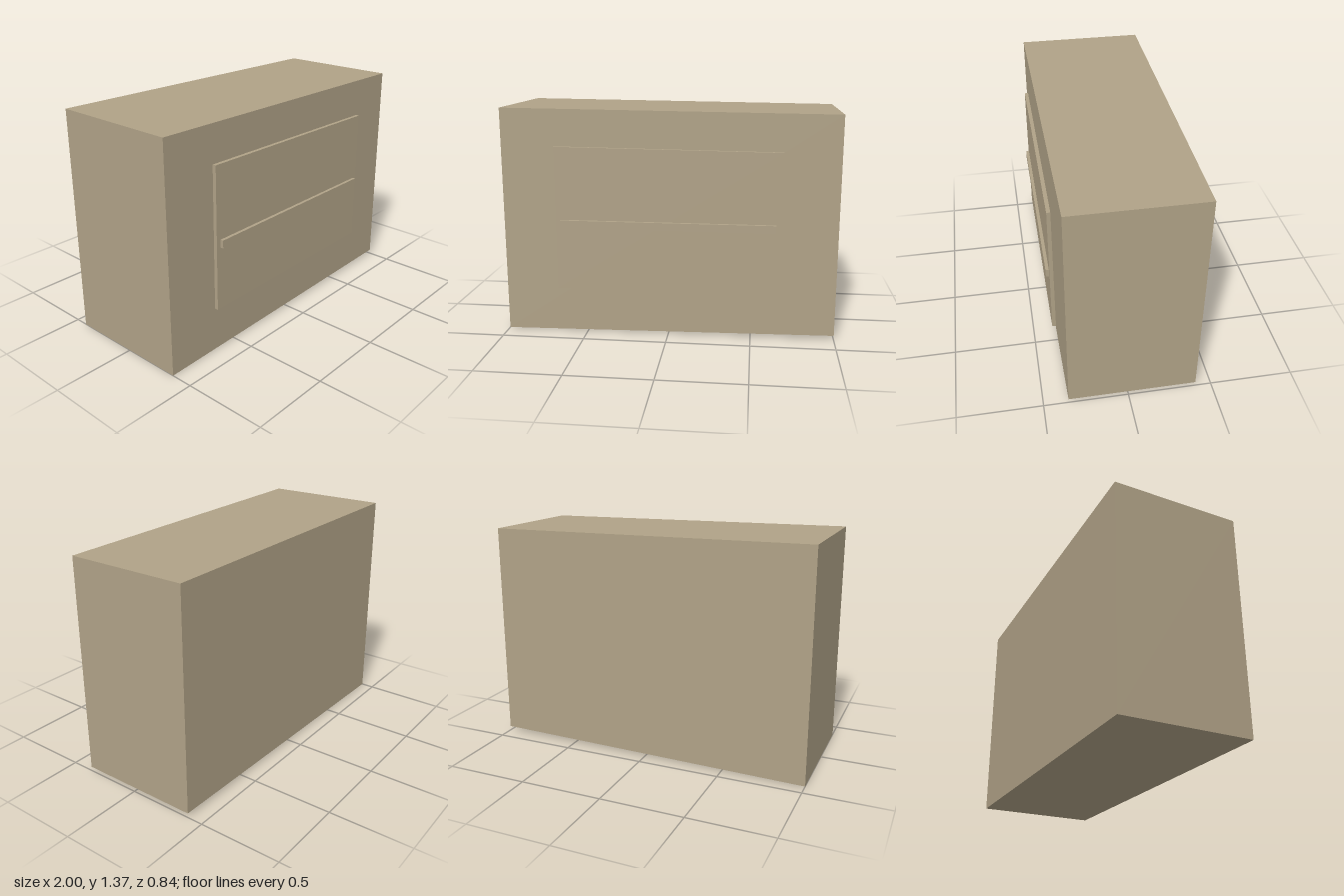
import * as THREE from 'three';

// Box from x0 to x1 whose rectangular end sections [yMin, yMax, zMin, zMax] may differ
function taperedBox(name, x0, x1, leftEnd, rightEnd, material) {
  const geometry = new THREE.BoxGeometry(1, 1, 1);
  const p = geometry.attributes.position;
  for (let i = 0; i < p.count; i++) {
    const atRight = p.getX(i) > 0;
    const [yMin, yMax, zMin, zMax] = atRight ? rightEnd : leftEnd;
    p.setXYZ(i, atRight ? x1 : x0, p.getY(i) > 0 ? yMax : yMin, p.getZ(i) > 0 ? zMax : zMin);
  }
  geometry.computeVertexNormals();
  const mesh = new THREE.Mesh(geometry, material);
  mesh.name = name;
  return mesh;
}

export function createModel() {
  const model = new THREE.Group();
  model.name = 'cabinet';
  const tan = new THREE.MeshStandardMaterial({ color: 0xb0a287 });
  tan.name = 'tan';

  // Main body, narrowing slightly towards +x
  model.add(taperedBox('body', -1, 1, [0, 1.372, -0.419, 0.367], [0.027, 1.35, -0.404, 0.354], tan));
  // Front panel standing just clear of the body, with the same taper
  model.add(taperedBox('frontPanel', -0.672, 0.668, [0.283, 1.15, 0.378, 0.4], [0.297, 1.135, 0.378, 0.4], tan));
  // Horizontal bar across the panel
  const barEnd = [0.664, 0.712, 0.4, 0.419];
  model.add(taperedBox('crossBar', -0.642, 0.637, barEnd, barEnd, tan));

  return model;
}
